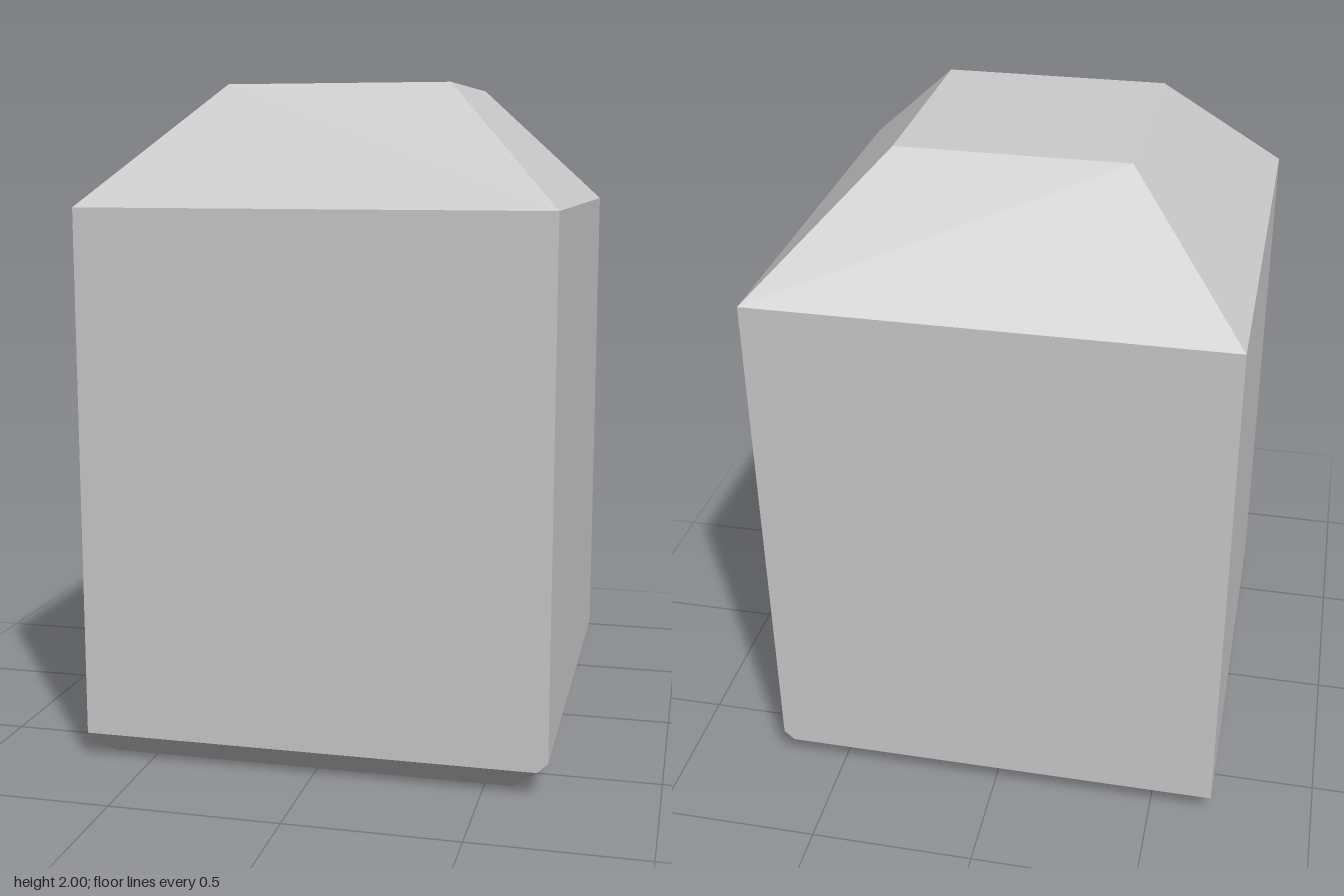
import * as THREE from 'three';
import { ConvexGeometry } from 'three/addons/geometries/ConvexGeometry.js';

const HALF = 0.69;       // half width of the block
const HEIGHT = 2;
const TOP_BEVEL = 0.355; // wide 45 degree bevel round the top
// 45 degree bevels round the base, one size per side
const BASE_BEVEL = { left: 0.11, right: 0.053, frontBack: 0.08 };

export function createModel() {
  const group = new THREE.Group();
  const material = new THREE.MeshStandardMaterial({ color: 0xcccccc, flatShading: true });

  const points = [];
  const add = (x, y, z) => points.push(new THREE.Vector3(x, y, z));

  for (const sx of [-1, 1]) {
    for (const sz of [-1, 1]) {
      // Top face and shoulder
      add(sx * (HALF - TOP_BEVEL), HEIGHT, sz * (HALF - TOP_BEVEL));
      add(sx * HALF, HEIGHT - TOP_BEVEL, sz * HALF);

      // Base corner: the two unequal bevels meet along a mitre
      const a = sx > 0 ? BASE_BEVEL.left : BASE_BEVEL.right;
      const b = BASE_BEVEL.frontBack;
      const mitre = Math.min(a, b);
      add(sx * HALF, Math.max(a, b), sz * HALF);
      add(sx * (HALF - a + mitre), mitre, sz * (HALF - b + mitre));
      add(sx * (HALF - a), 0, sz * (HALF - b));
    }
  }

  // Bevelled block
  const block = new THREE.Mesh(new ConvexGeometry(points), material);
  block.name = 'bevelledBlock';
  group.add(block);
  return group;
}
